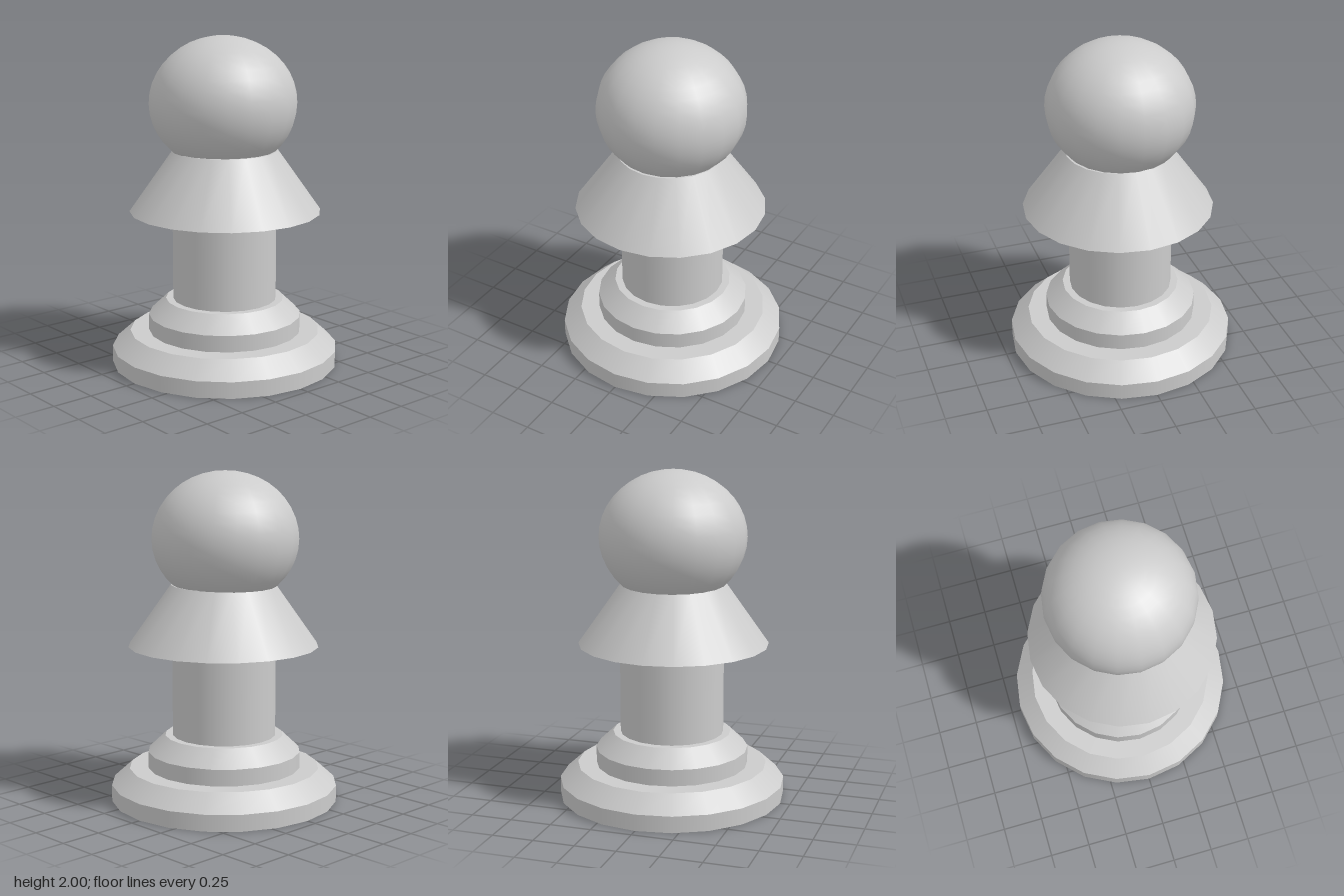
import * as THREE from 'three';

const SIDES = 20;

export function createModel() {
  const model = new THREE.Group();
  const material = new THREE.MeshStandardMaterial({ color: 0xcccccc });

  function add(name, geometry, x, y, z) {
    const mesh = new THREE.Mesh(geometry, material);
    mesh.name = name;
    mesh.position.set(x, y, z);
    model.add(mesh);
    return mesh;
  }

  // Round section from height y0 to y1, smooth around and sharp at its rims
  function section(name, rBottom, rTop, y0, y1, x = 0, z = 0) {
    const geometry = new THREE.CylinderGeometry(rTop, rBottom, y1 - y0, SIDES);
    return add(name, geometry, x, (y0 + y1) / 2, z);
  }

  // Two-step foot, each step a rim with a bevel above it
  section('baseRim', 0.69, 0.69, 0, 0.1);
  section('baseBevel', 0.69, 0.58, 0.1, 0.2);
  section('stepRim', 0.465, 0.465, 0.2, 0.3);
  section('stepBevel', 0.465, 0.36, 0.3, 0.4);

  // Shaft and flared collar, the collar set slightly off the axis
  section('shaft', 0.315, 0.315, 0.4, 0.95);
  section('collar', 0.577, 0.316, 0.95, 1.32, -0.006, 0.012);

  // Slightly flattened ball, sunk into the collar
  const ball = add('head', new THREE.SphereGeometry(1, SIDES, 20), -0.008, 1.6, -0.003);
  ball.scale.set(0.443, 0.4, 0.443);

  return model;
}
